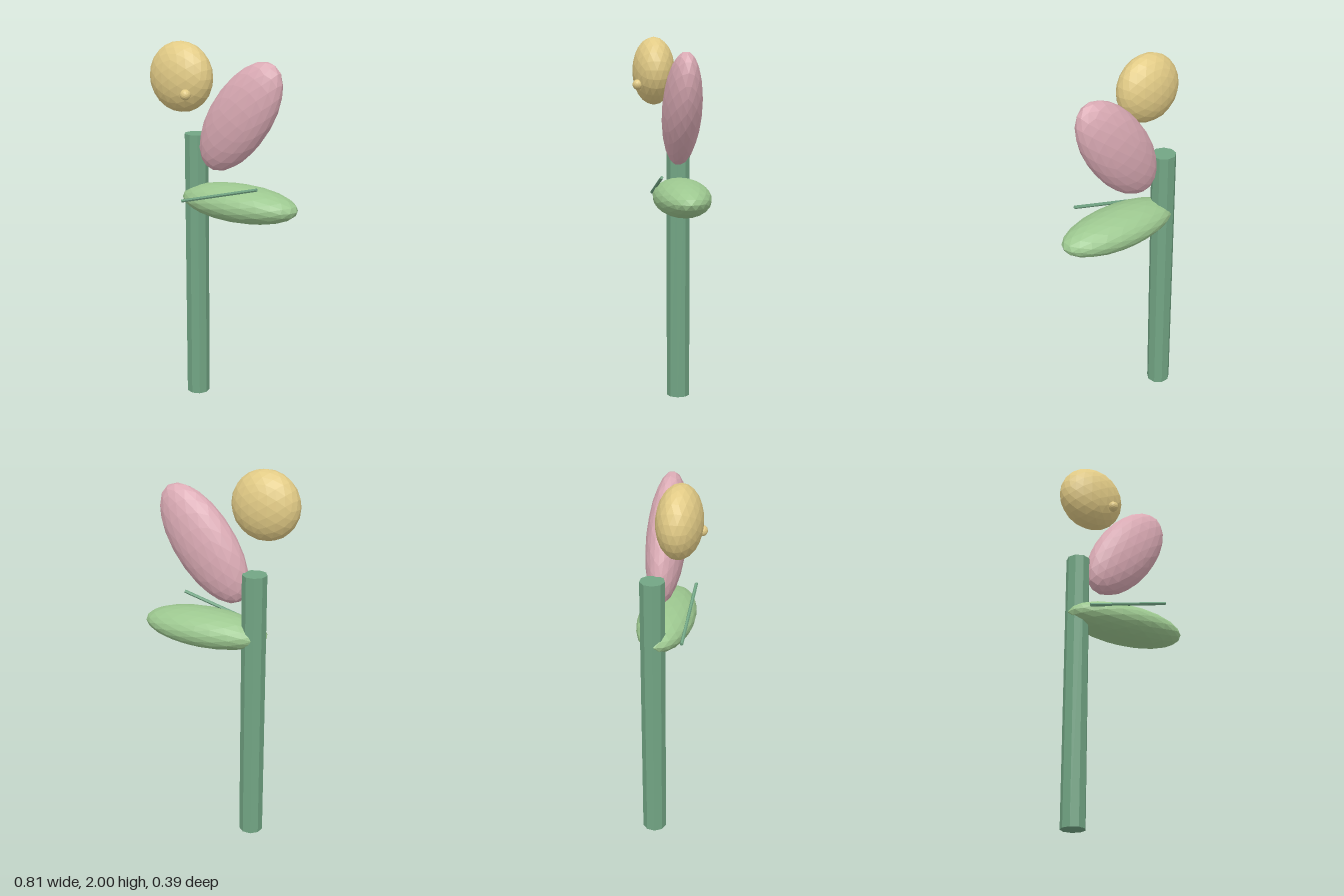
import * as THREE from 'three';

const material = (color) => new THREE.MeshStandardMaterial({ color, flatShading: true });

export function createModel() {
  const group = new THREE.Group();
  const stemGreen = material(0x72a584);
  const leafGreen = material(0x9dc890);
  const pink = material(0xdbabb5);
  const yellow = material(0xe2cb86);

  function add(name, geometry, mat, position, tilt = 0) {
    const mesh = new THREE.Mesh(geometry, mat);
    mesh.name = name;
    mesh.position.set(...position);
    mesh.rotation.z = tilt;
    group.add(mesh);
  }

  // Faceted ellipsoid with the given radii
  const blob = (rx, ry, rz, detail = 3) =>
    new THREE.IcosahedronGeometry(1, detail).scale(rx, ry, rz);

  // Upright stem
  add('stem', new THREE.CylinderGeometry(0.0645, 0.0645, 1.5, 9), stemGreen, [-0.223, 0.75, -0.065]);

  // Level leaf and the thin vein in front of it
  add('leaf', blob(0.345, 0.1, 0.15), leafGreen, [0.058, 1.16, -0.045]);
  add('leafVein', new THREE.CylinderGeometry(0.009, 0.009, 0.477, 6), stemGreen,
    [0.011, 1.222, 0.082], 0.265 - Math.PI / 2);

  // Leaning petal
  add('petal', blob(0.345, 0.17, 0.102), pink, [0.063, 1.615, -0.045], 0.95);

  // Flower centre with a small bead on its face
  add('flowerCentre', blob(0.182, 0.182, 0.114), yellow, [-0.221, 1.818, 0.071]);
  add('bead', blob(0.028, 0.028, 0.028, 2), yellow, [-0.132, 1.745, 0.165]);

  return group;
}
